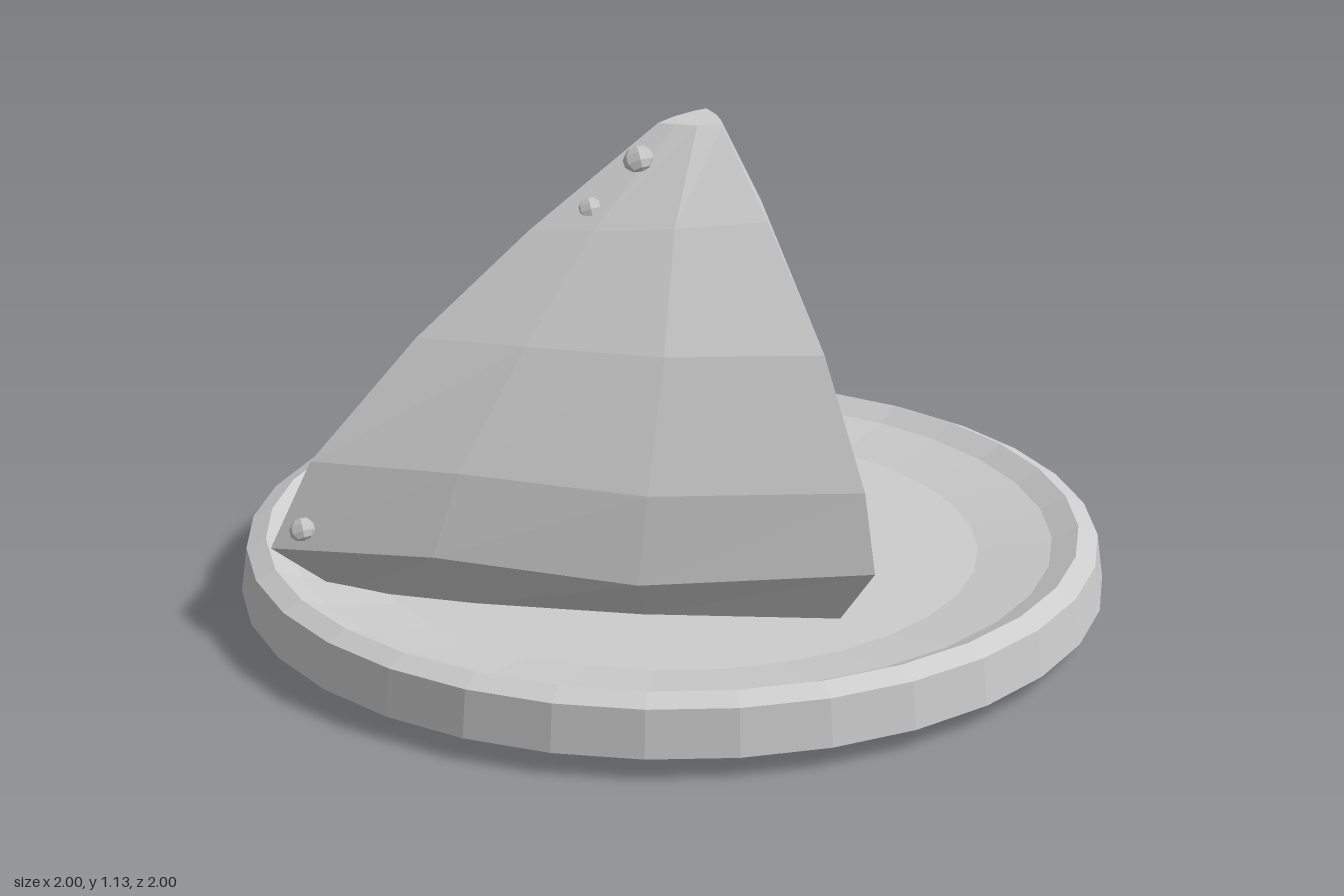
import * as THREE from 'three';

const clay = new THREE.MeshStandardMaterial({ color: 0xcccccc, flatShading: true });
clay.name = 'pale grey';

// Three ridges of the wedge, each listed as [x, y, z] from hem to crown
const ridge = (xs, ys, zs) => xs.map((x, i) => [x, ys[i], zs[i]]);
const A = ridge([-0.8, -0.72, -0.51, -0.29, -0.04], [0.235, 0.43, 0.69, 0.91, 1.13], [-0.515, -0.46, -0.325, -0.18, -0.01]);
const B = ridge([0.705, 0.665, 0.52, 0.31, 0.125], [0.225, 0.43, 0.69, 0.94, 1.13], [-0.33, -0.31, -0.22, -0.105, 0]);
const C = ridge([-0.155, -0.14, -0.09, -0.025, 0.03], [0.255, 0.43, 0.7, 0.95, 1.13], [0.665, 0.625, 0.48, 0.28, 0.115]);

// Sides between ridges: positions along the side and the wavy hem lift there
const sides = [
  { from: A, to: C, steps: [[0, 0], [0.28, 0.012], [0.62, -0.03]] },
  { from: C, to: B, steps: [[0, 0], [0.34, -0.03], [0.64, 0.016], [0.92, -0.01]] },
  { from: B, to: A, steps: [[0, 0], [0.22, 0.03], [0.6, -0.012]] },
];
const bow = [0.05, 0.05, 0.045, 0.03, 0.01];
const wave = [1, 0.6, 0.2, 0, 0];

function ringAt(level) {
  const ring = [];
  for (const { from, to, steps } of sides) {
    const p = from[level], q = to[level];
    const dx = q[0] - p[0], dz = q[2] - p[2], len = Math.hypot(dx, dz);
    for (const [t, lift] of steps) {
      const out = 4 * t * (1 - t) * bow[level] / len;
      ring.push([
        p[0] + dx * t - dz * out,
        p[1] + (q[1] - p[1]) * t + lift * wave[level],
        p[2] + dz * t + dx * out,
      ]);
    }
  }
  return ring;
}

// Loft of the rings with a tucked-in foot and a flat crown
function wedgeGeometry() {
  const rings = [0, 1, 2, 3, 4].map(ringAt);
  rings.unshift(rings[0].map(([x, , z]) => [x * 0.84, 0.112, z * 0.84]));
  const n = rings[0].length, index = [];
  const points = rings.flat();
  for (let r = 0; r < rings.length - 1; r++) {
    for (let i = 0; i < n; i++) {
      const a = r * n + i, b = r * n + (i + 1) % n;
      index.push(a, b, b + n, a, b + n, a + n);
    }
  }
  const top = (rings.length - 1) * n;
  points.push([0.04, 1.13, 0.035], [-0.07, 0.112, -0.05]);
  const crown = points.length - 2, foot = points.length - 1;
  for (let i = 0; i < n; i++) {
    const j = (i + 1) % n;
    index.push(crown, top + i, top + j, foot, j, i);
  }
  const g = new THREE.BufferGeometry();
  g.setAttribute('position', new THREE.Float32BufferAttribute(points.flat(), 3));
  g.setIndex(index);
  const flat = g.toNonIndexed();
  flat.computeVertexNormals();
  return flat;
}

export function createModel() {
  const model = new THREE.Group();
  const add = (name, geometry) => {
    const mesh = new THREE.Mesh(geometry, clay);
    mesh.name = name;
    model.add(mesh);
    return mesh;
  };

  // Shallow plate
  const profile = [[0, 0], [0.77, 0], [1, 0.05], [0.985, 0.155], [0.94, 0.175], [0.88, 0.145], [0.71, 0.115], [0, 0.115]];
  add('plate', new THREE.LatheGeometry(profile.map(([x, y]) => new THREE.Vector2(x, y)), 32));

  // Three-sided wedge
  add('wedge', wedgeGeometry());

  // Seeds pressed flat against a face: [x, y, z, radius]
  const seedShape = new THREE.SphereGeometry(1, 7, 5);
  const zAxis = new THREE.Vector3(0, 0, 1);
  const addSeeds = (name, list, normal) => {
    for (const [x, y, z, r] of list) {
      const seed = add(name, seedShape);
      seed.position.set(x, y, z);
      seed.quaternion.setFromUnitVectors(zAxis, normal.clone().normalize());
      seed.scale.set(r, r * 0.85, r * 0.5);
    }
  };
  addSeeds('backSeed', [
    [-0.35, 0.42, -0.465, 0.045], [-0.13, 0.44, -0.42, 0.045], [0.08, 0.47, -0.415, 0.045], [0.28, 0.47, -0.37, 0.045],
    [-0.285, 0.64, -0.365, 0.045], [-0.11, 0.65, -0.325, 0.045], [0.05, 0.67, -0.33, 0.045], [0.205, 0.69, -0.29, 0.045],
  ], new THREE.Vector3(-0.1, 0.45, -1));
  addSeeds('ridgeSeed', [
    [-0.105, 1.06, -0.015, 0.038], [-0.205, 0.96, -0.075, 0.03], [-0.765, 0.285, -0.45, 0.032],
  ], new THREE.Vector3(-1, 0.7, 0.3));

  return model;
}
